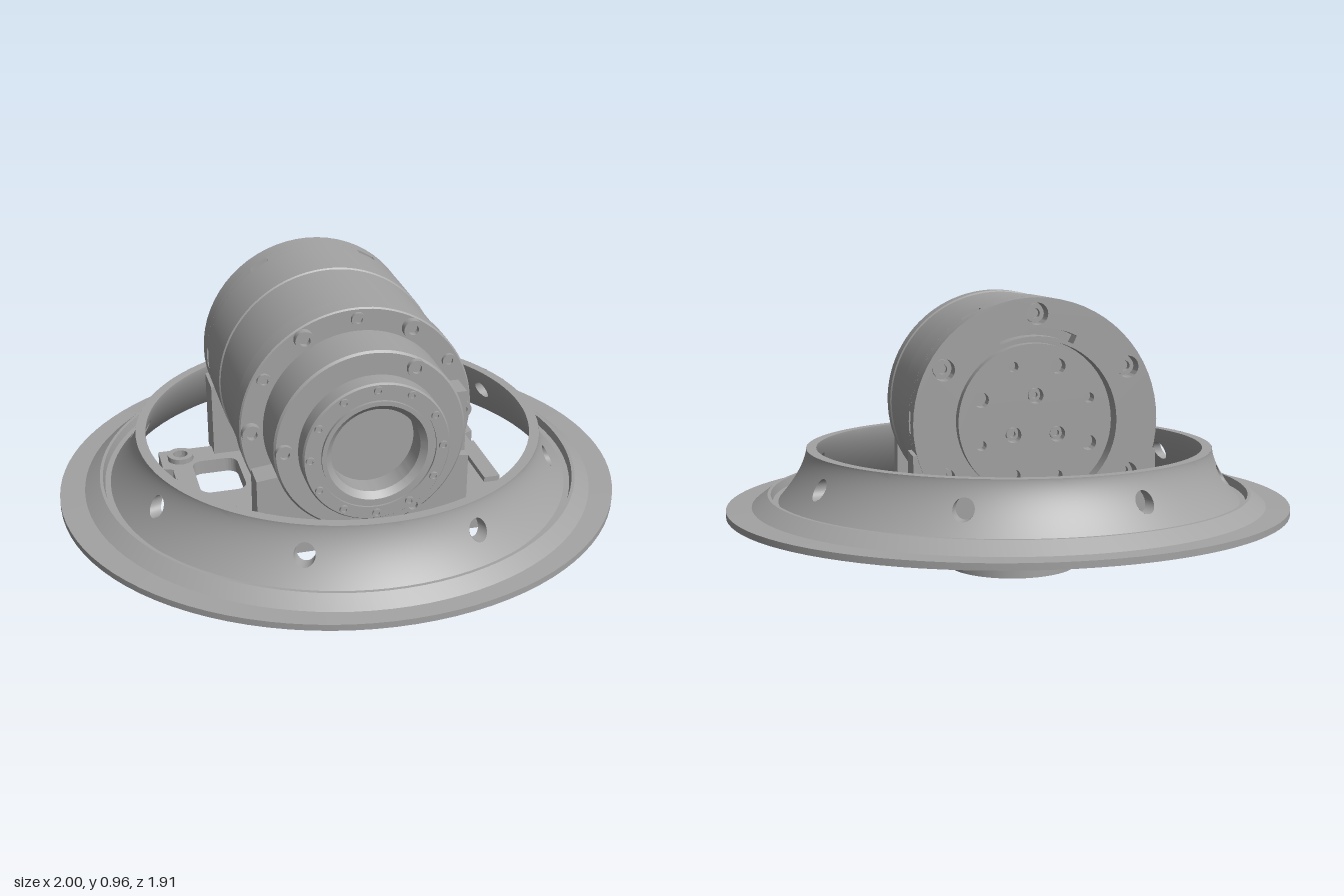
import * as THREE from 'three';
import { toCreasedNormals } from 'three/addons/utils/BufferGeometryUtils.js';
import { ParametricGeometry } from 'three/addons/geometries/ParametricGeometry.js';

const PI = Math.PI;
const AXIS_Y = 0.56; // height of the motor axis

export function createModel() {
  const model = new THREE.Group();
  const grey = new THREE.MeshStandardMaterial({ color: 0xa3a3a3, side: THREE.DoubleSide });

  const add = (name, geo, x = 0, y = 0, z = 0, parent = model) => {
    const mesh = new THREE.Mesh(geo, grey);
    mesh.name = name;
    mesh.position.set(x, y, z);
    parent.add(mesh);
    return mesh;
  };
  const lathe = (pts, seg = 72) =>
    toCreasedNormals(new THREE.LatheGeometry(pts.map(p => new THREE.Vector2(p[0], p[1])), seg), 0.5);
  const latheZ = (pts, seg) => lathe(pts, seg).rotateX(PI / 2);
  const extrude = (shape, depth) => toCreasedNormals(
    new THREE.ExtrudeGeometry(shape, { depth, bevelEnabled: false, curveSegments: 32 }), 0.5);
  const circle = (x, y, r) => new THREE.Path().absarc(x, y, r, 0, 2 * PI, true);
  const poly = pts => new THREE.Shape(pts.map(p => new THREE.Vector2(p[0], p[1])));
  const polar = (r, deg) => [r * Math.cos(deg * PI / 180), r * Math.sin(deg * PI / 180)];
  const slot = (x0, x1, y0, y1, r) => {
    const p = new THREE.Path();
    p.absarc(x1 - r, y1 - r, r, 0, PI / 2);
    p.absarc(x0 + r, y1 - r, r, PI / 2, PI);
    p.absarc(x0 + r, y0 + r, r, PI, 1.5 * PI);
    p.absarc(x1 - r, y0 + r, r, 1.5 * PI, 2 * PI);
    p.closePath();
    return p;
  };

  // ---- Mounting ring: oval flange, stepped lip and groove
  const flange = lathe([[0.8, 0.2], [1, 0.2], [1, 0.222], [0.912, 0.226], [0.857, 0.268],
    [0.846, 0.268], [0.84, 0.24], [0.82, 0.24]], 96);
  const fp = flange.attributes.position;
  for (let i = 0; i < fp.count; i++) {
    const r = Math.hypot(fp.getX(i), fp.getZ(i));
    fp.setZ(i, fp.getZ(i) * (1 - 0.046 * THREE.MathUtils.clamp((r - 0.857) / 0.143, 0, 1)));
  }
  add('ringFlange', flange);
  add('ringRim', lathe([[0.72, 0.425], [0.685, 0.425]], 96));

  // Flared wall in eight sectors, each pierced by a round hole
  const TOP = 0.425, HOLE_Y = 0.335, HOLE_R = 0.035;
  const outerR = y => 0.72 + 0.1 * Math.pow(Math.max(0, (TOP - y) / 0.185), 1.6);
  const innerR = y => 0.685 + 0.115 * Math.pow(Math.max(0, (TOP - y) / 0.225), 1.6);
  const wall = (radius, low) => new ParametricGeometry((u, v, out) => {
    const c = Math.cos(u * 2 * PI), s = Math.sin(u * 2 * PI), m = Math.max(Math.abs(c), Math.abs(s));
    const a = THREE.MathUtils.lerp(c * HOLE_R / 0.75, c / m * PI / 8, v);
    const y = HOLE_Y + THREE.MathUtils.lerp(s * HOLE_R, s / m * (s > 0 ? TOP - HOLE_Y : HOLE_Y - low), v);
    out.set(radius(y) * Math.sin(a), y, radius(y) * Math.cos(a));
  }, 64, 8);
  const holeWall = new ParametricGeometry((u, v, out) => {
    const a = Math.cos(u * 2 * PI) * HOLE_R / 0.75, y = HOLE_Y + Math.sin(u * 2 * PI) * HOLE_R;
    const r = THREE.MathUtils.lerp(innerR(y), outerR(y), v);
    out.set(r * Math.sin(a), y, r * Math.cos(a));
  }, 32, 1);
  const parts = { ringOuterWall: wall(outerR, 0.24), ringInnerWall: wall(innerR, 0.2), ringHole: holeWall };
  for (let k = 0; k < 8; k++) {
    for (const name in parts) add(name, parts[name]).rotation.y = PI / 8 + k * PI / 4;
  }

  // ---- Motor, built around its own axis along z
  const motor = new THREE.Group();
  motor.name = 'motor';
  motor.position.y = AXIS_Y;
  model.add(motor);
  add('motorBody', latheZ([[0, -0.335], [0.405, -0.335], [0.405, -0.112], [0.4, -0.108], [0.4, 0.175],
    [0.405, 0.18], [0.405, 0.26], [0.4, 0.265], [0.325, 0.265], [0.325, 0.428], [0.318, 0.435],
    [0.22, 0.435], [0.22, 0.445], [0.247, 0.445], [0.247, 0.505], [0.242, 0.512], [0.2, 0.512],
    [0.2, 0.505], [0.185, 0.505], [0.185, 0.515], [0.17, 0.515], [0.15, 0.495], [0.15, 0.42], [0, 0.42]], 96),
    0, 0, 0, motor);

  // Notched slice behind the body
  const notched = [];
  for (let k = 0; k < 6; k++) {
    const a = k * 60;
    notched.push(polar(0.365, a - 5), polar(0.365, a + 5));
    for (let d = 5; d <= 55; d += 5) notched.push(polar(0.405, a + d));
  }
  add('notchedSlice', extrude(poly(notched), 0.036), 0, 0, -0.371, motor);

  // Rear cap with bolt holes, a curved slot and the output disc
  const cap = new THREE.Shape().absarc(0, 0, 0.405, 0, 2 * PI);
  cap.holes.push(circle(0, 0, 0.268));
  for (let k = 0; k < 6; k++) cap.holes.push(circle(...polar(0.352, 30 + 60 * k), 0.036));
  const arc = new THREE.Path().absarc(0, 0, 0.309, PI * 0.36, PI * 0.64, false);
  arc.absarc(0, 0, 0.28, PI * 0.64, PI * 0.36, true);
  cap.holes.push(arc);
  add('rearCap', extrude(cap, 0.07), 0, 0, -0.441, motor);
  const disc = new THREE.Shape().absarc(0, 0, 0.255, 0, 2 * PI);
  for (let k = 0; k < 8; k++) disc.holes.push(circle(...polar(0.195, 22.5 + 45 * k), k % 2 ? 0.017 : 0.025));
  for (let k = 0; k < 3; k++) disc.holes.push(circle(...polar(0.085, 90 + 120 * k), 0.026));
  add('outputDisc', extrude(disc, 0.05), 0, 0, -0.42, motor);

  // Socket-head bolts
  const bolt = (r, h) => latheZ([[r, 0], [r, h], [r * 0.55, h], [r * 0.55, h * 0.3], [0, h * 0.3]], 20);
  const bolts = (name, n, ringR, start, r, h, z, back) => {
    const geo = bolt(r, h);
    for (let k = 0; k < n; k++) {
      const [x, y] = polar(ringR, start + 360 / n * k);
      add(name, geo, x, y, z, motor).rotation.y = back ? PI : 0;
    }
  };
  bolts('shoulderBolt', 6, 0.367, 0, 0.033, 0.03, 0.262);
  bolts('shoulderScrew', 6, 0.367, 30, 0.024, 0.015, 0.262);
  bolts('gearheadBolt', 3, 0.292, 60, 0.03, 0.02, 0.432);
  bolts('frontRingScrew', 12, 0.223, 0, 0.015, 0.012, 0.508);
  bolts('rearCapBolt', 6, 0.352, 30, 0.03, 0.035, -0.37, true);
  bolts('outputScrew', 3, 0.085, 90, 0.02, 0.03, -0.37, true);

  // Side connector: an open frame on the left flank
  const frame = poly([[-0.045, -0.08], [0.045, -0.08], [0.045, 0.14], [-0.045, 0.14]]);
  frame.holes.push(slot(-0.03, 0.02, -0.065, 0.105, 0.008));
  add('connectorFrame', extrude(frame, 0.06).rotateY(PI / 2), 0.27, 0, 0.38, motor);
  add('connectorCore', new THREE.BoxGeometry(0.03, 0.15, 0.025), 0.3, 0.02, 0.385, motor);

  // ---- Base plate with slots and corner holes (drawn in x, -z)
  const plate = poly([[-0.61, -0.365], [0.61, -0.365], [0.61, -0.225], [0.575, -0.21], [0.575, 0.22],
    [0.61, 0.235], [0.61, 0.37], [-0.61, 0.37], [-0.61, 0.235], [-0.575, 0.22], [-0.575, -0.21], [-0.61, -0.225]]);
  for (const sx of [-1, 1]) {
    for (const v of [0.3, -0.29]) plate.holes.push(circle(sx * 0.535, v, 0.027));
  }
  plate.holes.push(slot(-0.5, -0.33, 0.02, 0.26, 0.04), slot(0.33, 0.49, 0.12, 0.32, 0.04));
  add('basePlate', extrude(plate, 0.055).rotateX(-PI / 2), 0, 0.125, 0);
  // Raised pads around the corner holes, and side cover
  const pad = new THREE.Shape().absarc(0, 0, 0.048, 0, 2 * PI);
  pad.holes.push(circle(0, 0, 0.027));
  const padGeo = extrude(pad, 0.02).rotateX(-PI / 2);
  for (const sx of [-1, 1]) {
    for (const z of [-0.3, 0.29]) add('cornerPad', padGeo, sx * 0.535, 0.18, z);
    add('plateSideRail', new THREE.BoxGeometry(0.06, 0.02, 0.28), sx * 0.545, 0.19, 0.02);
  }

  // Cradle posts that hold the motor
  for (const sx of [-1, 1]) {
    const post = new THREE.Shape();
    post.moveTo(sx * 0.405, -0.4);
    post.lineTo(sx * 0.405, -0.1);
    for (let d = 14; d <= 60; d += 4) {
      const [x, y] = polar(0.395, -d);
      post.lineTo(sx * x, y);
    }
    post.lineTo(sx * 0.19, -0.4);
    add('rearPost', extrude(post, 0.13), 0, AXIS_Y, -0.435);
    const lug = new THREE.Shape();
    lug.moveTo(sx * 0.37, -0.4);
    lug.lineTo(sx * 0.37, -0.14);
    for (let d = 24; d <= 64; d += 4) {
      const [x, y] = polar(0.322, -d);
      lug.lineTo(sx * x, y);
    }
    lug.lineTo(sx * 0.14, -0.4);
    add('frontLug', extrude(lug, 0.095), 0, AXIS_Y, 0.265);
  }
  add('rearFoot', new THREE.BoxGeometry(0.8, 0.06, 0.08), 0, 0.157, -0.4);

  // ---- C-shaped boss under the plate, open to the front (drawn in x, -z)
  const R = 0.2325, CZ = 0.05;
  const boss = new THREE.Shape();
  boss.moveTo(0.1, -0.145);
  boss.lineTo(0.21, -0.145);
  boss.absarc(0, CZ, R, -0.4, PI + 0.4, false);
  boss.lineTo(-0.21, -0.145);
  boss.lineTo(-0.1, -0.145);
  boss.absarc(0, CZ, 0.115, PI + 0.5, -0.5, true);
  for (const deg of [-25, 20, 65, 115, 160, 205]) {
    const [x, y] = polar(0.175, deg);
    boss.holes.push(circle(x, y + CZ, 0.02));
  }
  add('cableBoss', extrude(boss, 0.13).rotateX(-PI / 2));

  return model;
}
